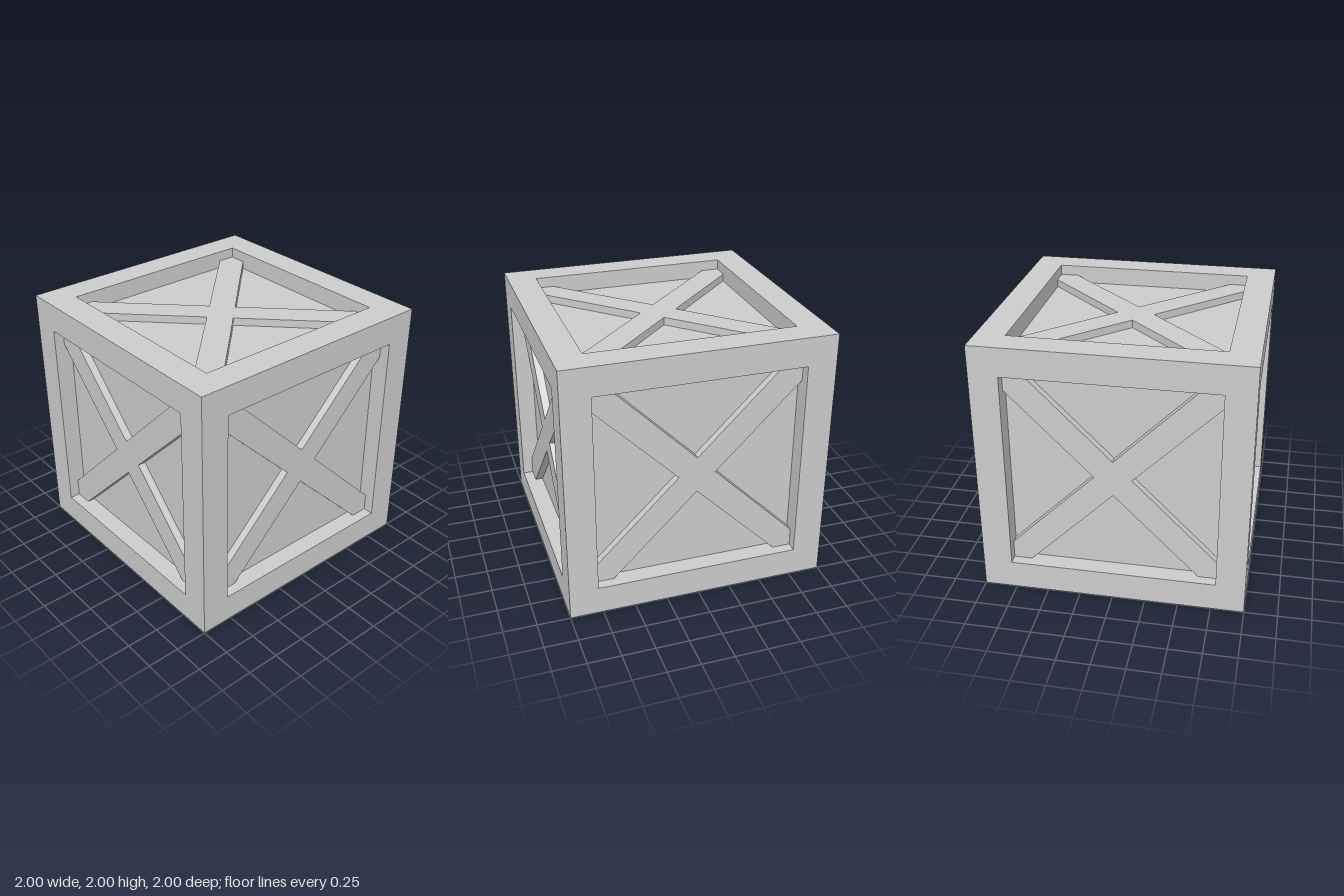
import * as THREE from 'three';

const HALF = 1;        // half of the crate's edge
const OPEN = 0.78;     // half of the opening in each face
const BAR = 0.14;      // offset of a bar's edge from the diagonal
const PANEL = 0.14;    // depth of the recessed panel
const CROSS = 0.08;    // depth of the cross brace

const material = new THREE.MeshStandardMaterial({ color: 0xcccccc, flatShading: true });

const square = (Type, h) => new Type([[-h, -h], [h, -h], [h, h], [-h, h]].map(p => new THREE.Vector2(...p)));

// Square border, mitred at 45 degrees so that six of them meet along the crate's edges
function frameGeometry() {
  const shape = square(THREE.Shape, HALF);
  shape.holes.push(square(THREE.Path, OPEN));
  const geometry = new THREE.ExtrudeGeometry(shape, { depth: PANEL, bevelEnabled: false });
  geometry.translate(0, 0, HALF - PANEL);
  const pos = geometry.attributes.position;
  for (let i = 0; i < pos.count; i++) {
    const x = pos.getX(i), y = pos.getY(i), z = pos.getZ(i);
    if (Math.abs(x) > OPEN + 0.01 && z < HALF - 0.01) pos.setXY(i, x * z, y * z);
  }
  geometry.computeVertexNormals();
  return geometry;
}

// X-shaped brace whose ends fill the corners of the opening
function crossGeometry() {
  const points = [];
  for (let i = 0; i < 4; i++) {
    for (const [x, y] of [[BAR, 0], [OPEN, OPEN - BAR], [OPEN, OPEN], [OPEN - BAR, OPEN]]) {
      points.push(new THREE.Vector2(x, y).rotateAround(new THREE.Vector2(), i * Math.PI / 2));
    }
  }
  const geometry = new THREE.ExtrudeGeometry(new THREE.Shape(points), { depth: PANEL - CROSS, bevelEnabled: false });
  return geometry.translate(0, 0, HALF - PANEL);
}

export function createModel() {
  const crate = new THREE.Group();
  crate.name = 'crate';

  const add = (parent, name, geometry) => {
    const mesh = new THREE.Mesh(geometry, material);
    mesh.name = name;
    parent.add(mesh);
  };

  // Inner box gives the recessed panels
  const inner = 2 * (HALF - PANEL);
  add(crate, 'panels', new THREE.BoxGeometry(inner, inner, inner));

  // The same frame and brace on all six sides
  const frame = frameGeometry();
  const cross = crossGeometry();
  const quarter = Math.PI / 2;
  const sides = {
    front: [0, 0], left: [0, quarter], back: [0, 2 * quarter],
    right: [0, -quarter], top: [-quarter, 0], bottom: [quarter, 0],
  };
  for (const [name, [rx, ry]] of Object.entries(sides)) {
    const side = new THREE.Group();
    side.name = name + 'Side';
    side.rotation.set(rx, ry, 0);
    add(side, name + 'Frame', frame);
    add(side, name + 'CrossBrace', cross);
    crate.add(side);
  }

  crate.position.y = HALF;
  const model = new THREE.Group();
  model.add(crate);
  return model;
}
